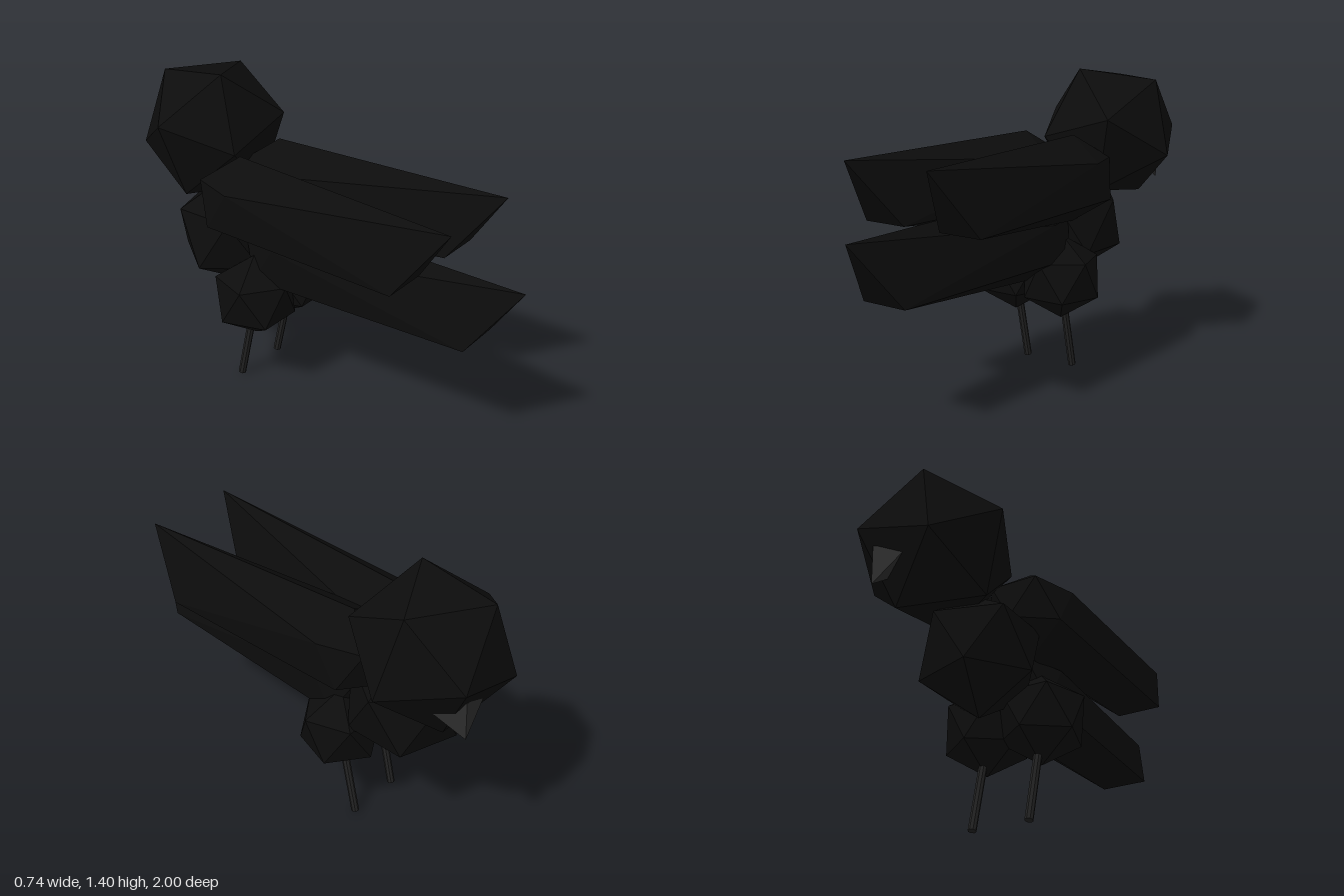
import * as THREE from 'three';
import { ConvexGeometry } from 'three/addons/geometries/ConvexGeometry.js';

const V = (x, y, z) => new THREE.Vector3(x, y, z);
const material = (color) => new THREE.MeshStandardMaterial({ color, flatShading: true });
const feather = material(0x0c0c0c);
const legGrey = material(0x222222);
const beakGrey = material(0x2e2e2e);
const MID = -0.0625; // x of the bird's plane of symmetry

// Upright icosahedron: two poles and two rings of five.
// "rear" replaces the rear vertices to draw the ball out into a wing or tail.
function ball(center, radius, yaw = 0, rear = null) {
  const ring = (start, y) => Array.from({ length: 5 }, (_, i) => {
    const a = start + yaw + (i * Math.PI * 2) / 5;
    return V(Math.sin(a) * 0.894, y, Math.cos(a) * 0.894);
  });
  const points = [V(0, -1, 0), ...ring(Math.PI / 5, -0.447), ...ring(0, 0.447), V(0, 1, 0)];
  points.forEach((p) => p.multiplyScalar(radius).add(center));
  if (rear) {
    points[6].copy(rear.tip);
    points[1].copy(rear.lower).x += rear.spread;
    points[5].copy(rear.lower).x -= rear.spread;
  }
  const index = [];
  for (let i = 0; i < 5; i++) {
    const j = (i + 1) % 5;
    const [l0, l1, u0, u1] = [1 + i, 1 + j, 6 + i, 6 + j];
    index.push(0, l1, l0, l0, l1, u1, l0, u1, u0, u0, u1, 11);
  }
  const geometry = new THREE.BufferGeometry().setFromPoints(points);
  geometry.setIndex(index);
  const flat = geometry.toNonIndexed();
  flat.computeVertexNormals();
  return flat;
}

export function createModel() {
  const bird = new THREE.Group();
  bird.name = 'bird';
  const add = (name, geometry, mat = feather) => {
    const mesh = new THREE.Mesh(geometry, mat);
    mesh.name = name;
    bird.add(mesh);
    return mesh;
  };

  // Head: icosahedron turned so that one edge runs between two given directions
  const a = V(-0.0875, 0.3, 0.14);
  const b = V(-0.3325, 0.09, -0.02);
  const zAxis = a.clone().add(b).normalize();
  const yAxis = a.clone().sub(b).normalize();
  const xAxis = yAxis.clone().cross(zAxis).normalize();
  const head = add('head', new THREE.IcosahedronGeometry(0.344, 0));
  head.quaternion.setFromRotationMatrix(new THREE.Matrix4().makeBasis(xAxis, yAxis, zAxis));
  head.position.set(0.0375, 1.1, -0.71);

  // Beak: small faceted wedge pointing down and forward
  add('beak', new ConvexGeometry([
    V(0.16, 1.03, -0.97), V(0.15, 0.85, -0.975),
    V(0.24, 0.99, -0.82), V(0, 0.99, -0.95), V(0.1, 0.98, -0.8),
  ]), beakGrey);

  // Chest
  add('chest', ball(V(MID, 0.68, -0.52), 0.272, Math.PI / 10));

  // Body drawn out into the tail
  add('tail', ball(V(MID, 0.645, -0.2), 0.2, 0, {
    tip: V(MID, 0.84, 1), lower: V(MID, 0.555, 0.8), spread: 0.11,
  }));

  for (const side of [-1, 1]) {
    const label = side > 0 ? 'left' : 'right';

    // Folded wing
    add(label + 'Wing', ball(V(MID + side * 0.133, 0.92, -0.34), 0.2, 0, {
      tip: V(MID + side * 0.215, 1.11, 0.78),
      lower: V(MID + side * 0.2, 0.82, 0.57),
      spread: 0.105,
    }));

    // Thigh
    const x = -0.075 + side * 0.13;
    add(label + 'Thigh', ball(V(x, 0.466, -0.27), 0.2));

    // Thin leg leaning forward
    const top = V(x, 0.36, -0.288);
    const foot = V(x, 0.005, -0.372);
    const dir = top.clone().sub(foot);
    const leg = add(label + 'Leg', new THREE.CylinderGeometry(0.018, 0.018, dir.length(), 8), legGrey);
    leg.position.copy(top).add(foot).multiplyScalar(0.5);
    leg.quaternion.setFromUnitVectors(V(0, 1, 0), dir.normalize());
  }
  return bird;
}
